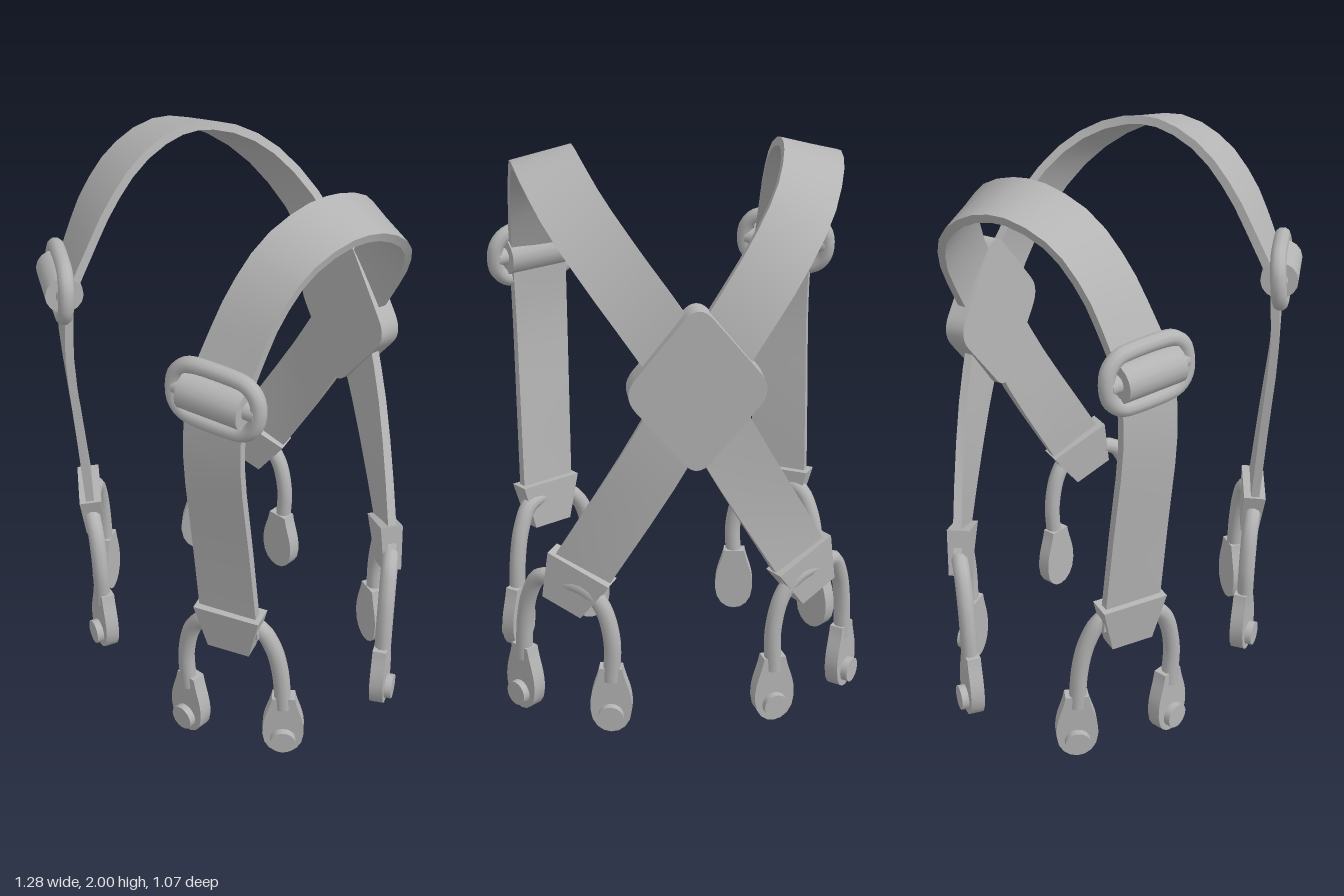
import * as THREE from 'three';
import { toCreasedNormals } from 'three/addons/utils/BufferGeometryUtils.js';

const V = (x, y, z) => new THREE.Vector3(x, y, z);

// Flat band swept along rows of [centre xyz, width direction xyz]
function strapGeometry(rows, steps, half = 0.105, thick = 0.015) {
  const path = new THREE.CatmullRomCurve3(rows.map(r => V(r[0], r[1], r[2])));
  const widths = new THREE.CatmullRomCurve3(rows.map(r => V(r[3], r[4], r[5])));
  const pos = [], idx = [];
  for (let i = 0; i <= steps; i++) {
    const t = i / steps, c = path.getPoint(t), d = path.getTangent(t), w = widths.getPoint(t);
    w.addScaledVector(d, -w.dot(d)).normalize();
    const n = w.clone().cross(d).normalize();
    for (const [a, b] of [[-1, 1], [1, 1], [1, -1], [-1, -1]]) {
      pos.push(...c.clone().addScaledVector(w, a * half).addScaledVector(n, b * thick).toArray());
    }
    if (i < steps) for (let k = 0; k < 4; k++) {
      const a = i * 4 + k, b = i * 4 + (k + 1) % 4;
      idx.push(a, b, b + 4, a, b + 4, a + 4);
    }
  }
  const e = steps * 4;
  idx.push(0, 3, 2, 0, 2, 1, e, e + 1, e + 2, e, e + 2, e + 3);
  const g = new THREE.BufferGeometry();
  g.setAttribute('position', new THREE.Float32BufferAttribute(pos, 3));
  g.setIndex(idx);
  return toCreasedNormals(g, 0.6);
}

// Mirror a geometry across x = 0, keeping faces outward
function mirrored(geo) {
  const g = geo.index ? geo.toNonIndexed() : geo.clone();
  g.scale(-1, 1, 1);
  for (const name of ['position', 'normal']) {
    const a = g.attributes[name];
    for (let i = 0; i < a.count; i += 3) {
      const p = V().fromBufferAttribute(a, i + 1), q = V().fromBufferAttribute(a, i + 2);
      a.setXYZ(i + 1, q.x, q.y, q.z);
      a.setXYZ(i + 2, p.x, p.y, p.z);
    }
  }
  return g;
}

// Spoon-shaped clip leaf, standing on y = 0
function leafGeometry() {
  const s = new THREE.Shape();
  s.moveTo(-0.04, 0.25);
  s.bezierCurveTo(-0.05, 0.19, -0.075, 0.16, -0.073, 0.09);
  s.bezierCurveTo(-0.068, -0.03, 0.068, -0.03, 0.073, 0.09);
  s.bezierCurveTo(0.075, 0.16, 0.05, 0.19, 0.04, 0.25);
  s.closePath();
  const g = new THREE.ExtrudeGeometry(s, { depth: 0.05, bevelEnabled: false, curveSegments: 8 });
  return toCreasedNormals(g.translate(0, 0, -0.025), 0.6);
}

// Rounded rectangular wire loop
function ringGeometry(w, h, r, wire) {
  const pts = [];
  [[1, 1], [-1, 1], [-1, -1], [1, -1]].forEach(([sx, sy], q) => {
    for (let i = 0; i <= 4; i++) {
      const a = (q + i / 4) * Math.PI / 2;
      pts.push(V(sx * (w - r) + r * Math.cos(a), sy * (h - r) + r * Math.sin(a), 0));
    }
  });
  return new THREE.TubeGeometry(new THREE.CatmullRomCurve3(pts, true), 48, wire, 10, true);
}

export function createModel() {
  const model = new THREE.Group();
  model.name = 'suspenders';
  const grey = new THREE.MeshStandardMaterial({ color: 0xb4b4b4 });
  grey.name = 'grey';

  const add = (name, geo) => {
    const m = new THREE.Mesh(geo, grey);
    m.name = name;
    model.add(m);
  };
  const addPair = (name, geo) => {
    add(name + 'Left', geo);
    add(name + 'Right', mirrored(geo));
  };

  // Front straps, below the buckles
  addPair('frontStrap', strapGeometry([
    [0.447, 0.52, 0.355, 0.87, 0, -0.5],
    [0.447, 0.9, 0.39, 0.88, 0, -0.46],
    [0.447, 1.25, 0.422, 0.9, 0, -0.42],
    [0.45, 1.47, 0.415, 0.92, 0, -0.38],
  ], 9));

  // Shoulder straps, over the top and down to the crossing
  addPair('shoulderStrap', strapGeometry([
    [0.45, 1.53, 0.395, 0.93, 0, -0.35],
    [0.45, 1.62, 0.35, 0.95, -0.08, -0.25],
    [0.45, 1.77, 0.265, 0.96, -0.18, -0.12],
    [0.45, 1.90, 0.14, 0.97, -0.23, -0.04],
    [0.45, 1.96, -0.02, 0.97, -0.24, 0],
    [0.432, 1.942, -0.16, 0.96, -0.27, 0],
    [0.37, 1.845, -0.32, 0.89, -0.44, -0.08],
    [0.26, 1.69, -0.43, 0.82, -0.56, -0.08],
    [0.12, 1.49, -0.485, 0.84, -0.53, 0],
    [0, 1.3, -0.495, 0.85, -0.5, 0],
  ], 20));

  // Lower back straps, from the crossing to the back clips
  addPair('backStrap', strapGeometry([
    [0, 1.3, -0.495, 0.88, 0.46, 0],
    [0.16, 1.0, -0.465, 0.87, 0.43, 0.15],
    [0.36, 0.64, -0.39, 0.8, 0.4, 0.36],
    [0.41, 0.54, -0.365, 0.78, 0.38, 0.42],
  ], 9));

  // Diamond plate over the crossing
  const corners = [[0, 0.31], [-0.25, 0], [0, -0.31], [0.25, 0]].map(c => new THREE.Vector2(...c));
  const diamond = new THREE.Shape();
  corners.forEach((c, i) => {
    const a = c.clone().lerp(corners[(i + 3) % 4], 0.19), b = c.clone().lerp(corners[(i + 1) % 4], 0.19);
    if (i) diamond.lineTo(a.x, a.y); else diamond.moveTo(a.x, a.y);
    diamond.quadraticCurveTo(c.x, c.y, b.x, b.y);
  });
  diamond.closePath();
  const plate = new THREE.ExtrudeGeometry(diamond, { depth: 0.075, bevelEnabled: false, curveSegments: 8 });
  plate.translate(0, 0, -0.0375).rotateX(-0.04).translate(0, 1.3, -0.49);
  add('crossPlate', toCreasedNormals(plate, 0.6));

  // Buckles: wire loop, roller and its pin
  const place = g => g.rotateZ(-0.04).rotateX(-0.08).rotateY(0.4).translate(0.463, 1.5, 0.425);
  addPair('buckleRing', place(ringGeometry(0.155, 0.092, 0.08, 0.028)));
  for (const [name, r, len] of [['buckleRoller', 0.066, 0.225], ['bucklePin', 0.03, 0.3]]) {
    const bar = new THREE.CylinderGeometry(r, r, len, 16).rotateZ(Math.PI / 2);
    addPair(name, place(bar));
  }

  // Clips: tapered end cap, bent wire, two leaves with buttons
  const clips = [
    { side: 'front', sz: 1, at: V(0.445, 0.537, 0.355), w: V(0.87, 0, -0.5), up: V(0, 1, 0.09) },
    { side: 'back', sz: -1, at: V(0.405, 0.55, -0.368), w: V(0.79, 0.38, 0.42), up: V(-0.43, 0.87, -0.2) },
  ];
  for (const { side, sz, at, w, up } of clips) {
    const cap = new THREE.BoxGeometry(0.24, 0.17, 0.08).toNonIndexed();
    const p = cap.attributes.position;
    for (let i = 0; i < p.count; i++) {
      if (p.getY(i) < 0) p.setXYZ(i, p.getX(i) * 0.64, p.getY(i), p.getZ(i) * 0.8);
    }
    cap.computeVertexNormals();
    const x = w.clone().normalize();
    const z = x.clone().cross(up).normalize();
    const y = z.clone().cross(x);
    cap.applyMatrix4(new THREE.Matrix4().makeBasis(x, y, z).setPosition(at));
    addPair(side + 'ClipCap', cap);

    const wire = new THREE.CatmullRomCurve3([
      [0.285, 0.2, 0.425], [0.282, 0.36, 0.43], [0.315, 0.49, 0.42], [0.37, 0.55, 0.4],
      [0.445, 0.56, 0.352], [0.515, 0.55, 0.29], [0.55, 0.47, 0.255], [0.568, 0.36, 0.235], [0.575, 0.2, 0.225],
    ].map(q => V(q[0], q[1], q[2] * sz)));
    addPair(side + 'ClipWire', new THREE.TubeGeometry(wire, 36, 0.03, 10));

    for (const [name, lx, lz, yaw] of [['Inner', 0.285, 0.418, 0.18], ['Outer', 0.573, 0.222, 0.9]]) {
      const turn = sz > 0 ? yaw : Math.PI - yaw;
      const put = g => g.rotateY(turn).translate(lx, 0, lz * sz);
      addPair(side + name + 'Leaf', put(leafGeometry()));
      const button = new THREE.CylinderGeometry(0.045, 0.045, 0.04, 16).rotateX(Math.PI / 2);
      addPair(side + name + 'Button', put(button.translate(0, 0.067, 0.03)));
    }
  }
  return model;
}
